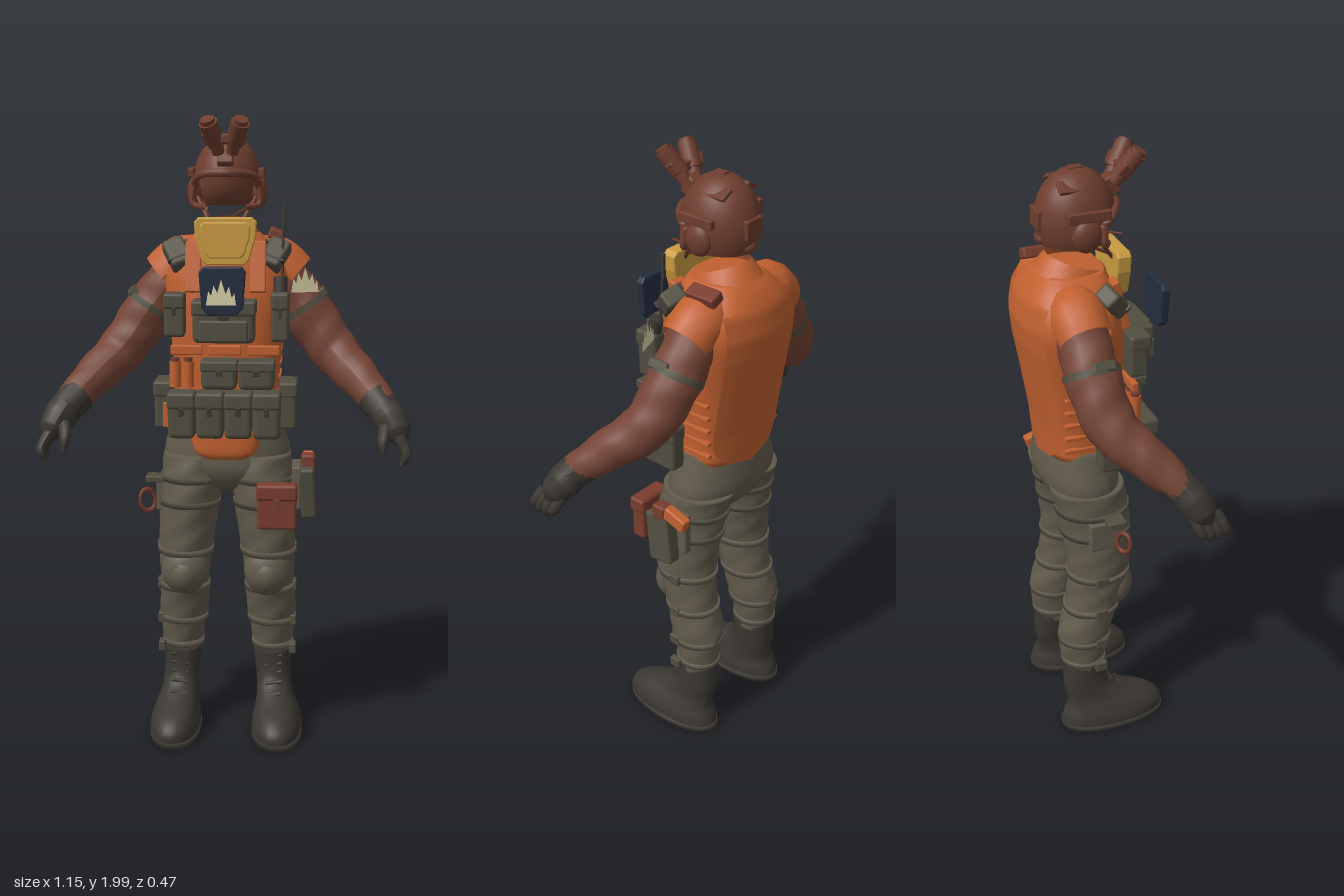
import * as THREE from 'three';
import { RoundedBoxGeometry } from 'three/addons/geometries/RoundedBoxGeometry.js';
import { ParametricGeometry } from 'three/addons/geometries/ParametricGeometry.js';

const V = (x, y, z) => new THREE.Vector3(x, y, z);
const lerp = THREE.MathUtils.lerp;

// Closed body through horizontal rings [x, y, z, rx, rz], listed upward
function loft(rings, { n = 28, e = 1, sub = 5, wrinkle = 0, caps = true } = {}) {
  const centres = new THREE.CatmullRomCurve3(rings.map(r => V(r[0], r[1], r[2])), false, 'catmullrom');
  const radii = new THREE.CatmullRomCurve3(rings.map(r => V(r[3], 0, r[4])), false, 'catmullrom');
  const rows = (rings.length - 1) * sub, pos = [], idx = [];
  const bend = v => Math.sign(v) * Math.abs(v) ** e;
  for (let j = 0; j <= rows; j++) {
    const c = centres.getPoint(j / rows), r = radii.getPoint(j / rows);
    for (let i = 0; i < n; i++) {
      const a = i / n * Math.PI * 2, k = 1 + wrinkle * Math.sin(a * 3 + c.y * 50) * Math.sin(c.y * 23 + a);
      pos.push(c.x + r.x * k * bend(Math.cos(a)), c.y, c.z + r.z * k * bend(Math.sin(a)));
    }
  }
  for (let j = 0; j < rows; j++) for (let i = 0; i < n; i++) {
    const a = j * n + i, b = j * n + (i + 1) % n;
    idx.push(a, a + n, b, b, a + n, b + n);
  }
  if (caps) {
    const first = rings[0], last = rings[rings.length - 1], base = pos.length / 3, top = rows * n;
    pos.push(first[0], first[1], first[2], last[0], last[1], last[2]);
    for (let i = 0; i < n; i++) {
      const k = (i + 1) % n;
      idx.push(base, i, k, base + 1, top + k, top + i);
    }
  }
  const g = new THREE.BufferGeometry();
  g.setAttribute('position', new THREE.Float32BufferAttribute(pos, 3));
  g.setIndex(idx);
  g.computeVertexNormals();
  return g;
}

// Tube through points [x, y, z, radius]
function limb(points, { n = 14, segs = 24, wrinkle = 0 } = {}) {
  const curve = new THREE.CatmullRomCurve3(points.map(p => V(p[0], p[1], p[2])));
  const g = new THREE.TubeGeometry(curve, segs, 1, n), p = g.attributes.position;
  for (let i = 0; i < p.count; i++) {
    const t = Math.floor(i / (n + 1)) / segs, c = curve.getPointAt(t);
    const f = t * (points.length - 1), k = Math.min(Math.floor(f), points.length - 2);
    const a = i % (n + 1) / n * Math.PI * 2;
    const r = lerp(points[k][3], points[k + 1][3], f - k) * (1 + wrinkle * Math.sin(t * 32 + a * 2));
    const v = V().fromBufferAttribute(p, i).sub(c).multiplyScalar(r).add(c);
    p.setXYZ(i, v.x, v.y, v.z);
  }
  g.computeVertexNormals();
  return g;
}

export function createModel() {
  const root = new THREE.Group();
  const M = {};
  const colours = { orange: 0xc06030, sleeveBrown: 0x744436, helmetBrown: 0x6d3d2e, redBrown: 0x783c2e, trouserGrey: 0x615a4c,
    pouchOlive: 0x514d40, charcoal: 0x3b3732, yellow: 0xc99b40, navy: 0x242d3e, cream: 0xd9d0a8 };
  for (const k in colours) M[k] = new THREE.MeshStandardMaterial({ color: colours[k], side: THREE.DoubleSide, name: k });

  const add = (name, geo, mat, p = [0, 0, 0], r = [0, 0, 0]) => {
    const m = new THREE.Mesh(geo, M[mat]);
    m.name = name; m.position.set(...p); m.rotation.set(...r);
    root.add(m);
    return m;
  };
  const box = (name, mat, p, s, r) => add(name, new RoundedBoxGeometry(...s, 2, Math.min(...s) * 0.2), mat, p, r);
  const ball = (name, mat, p, s) => add(name, new THREE.SphereGeometry(1, 20, 14), mat, p).scale.set(...s);
  const rod = (name, mat, a, b, r0, r1 = r0) => {
    const A = V(...a), B = V(...b), d = B.clone().sub(A);
    const m = add(name, new THREE.CylinderGeometry(r1, r0, d.length(), 14), mat, A.clone().add(B).multiplyScalar(0.5).toArray());
    m.quaternion.setFromUnitVectors(V(0, 1, 0), d.normalize());
  };
  const plate = (name, mat, points, depth, p) => add(name, new THREE.ExtrudeGeometry(new THREE.Shape(points.map(q => new THREE.Vector2(...q))),
    { depth, bevelSize: .004, bevelThickness: .005, bevelSegments: 2 }), mat, p);
  // Pouch with flap and buckle on its front
  const pouch = (name, x, y, z, w, h, d, mat = 'pouchOlive', buckle = 'charcoal') => {
    box(name, mat, [x, y, z], [w, h, d]);
    box(name + 'Flap', mat, [x, y + h * 0.33, z + 0.005], [w * 1.04, h * 0.36, d + 0.008]);
    box(name + 'Buckle', buckle, [x, y + h * 0.1, z + d / 2 + 0.006], [w * 0.18, h * 0.2, 0.01]);
  };

  // Vest: [y, half width, front z, back z]
  const torso = [[1.05, .165, .07, -.165], [1.15, .165, .075, -.175], [1.3, .178, .08, -.2], [1.42, .195, .08, -.222],
    [1.5, .2, .07, -.23], [1.56, .18, .06, -.22], [1.61, .135, .045, -.19], [1.64, .1, .03, -.16]];
  add('vest', loft(torso.map(([y, w, f, b]) => [0, y, (f + b) / 2, w, (f - b) / 2]), { n: 40, e: 0.72 }), 'orange');
  const backZ = y => {
    const k = Math.max(0, torso.findIndex(s => s[0] >= y) - 1), a = torso[k], b = torso[k + 1];
    return lerp(a[3], b[3], (y - a[0]) / (b[0] - a[0]));
  };
  add('backPanel', new ParametricGeometry((u, v, out) => {
    const y = 1.03 + v * 0.55, w = 0.158 * Math.sqrt(1 - (1 - Math.min(v * 4.5, 1)) ** 2), x = (u * 2 - 1) * w;
    out.set(x, y, backZ(y) - 0.01 + x * x * 1.5);
  }, 16, 24), 'orange');
  const collar = loft([[0, 1.6, -.06, .115, .115], [0, 1.64, -.05, .095, .1], [0, 1.66, -.045, .085, .09]], { caps: false });
  const cp = collar.attributes.position;
  for (let i = 0; i < cp.count; i++) cp.setY(i, cp.getY(i) - (cp.getZ(i) + 0.05) * 0.34);
  collar.computeVertexNormals();
  add('collar', collar, 'orange');
  add('frontTail', loft([[0, .935, .06, .06, .025], [0, .96, .06, .098, .035], [0, 1.03, .05, .115, .045]], { e: 0.8 }), 'orange');

  // Trousers, boots and straps
  add('hips', loft([[0, .815, -.03, .03, .03], [0, .84, -.03, .11, .075], [0, .89, -.04, .19, .112], [0, .95, -.052, .203, .125],
    [0, 1.02, -.052, .185, .122], [0, 1.08, -.05, .168, .115]], { e: 0.9 }), 'trouserGrey');
  const leg = [[.15, .24, -.078, .062, .065], [.15, .3, -.08, .068, .075], [.146, .4, -.072, .081, .089], [.14, .5, -.045, .08, .09],
    [.136, .6, -.022, .086, .1], [.128, .7, -.02, .092, .107], [.114, .84, -.03, .1, .115], [.105, .94, -.05, .1, .122]];
  const legAt = y => {
    const k = leg.findIndex(s => s[1] >= y), a = leg[k - 1], b = leg[k];
    return a.map((v, i) => lerp(v, b[i], (y - a[1]) / (b[1] - a[1])));
  };
  const boot = [[.168, 0, .02, .074, .172], [.168, .015, .02, .081, .18], [.168, .05, .022, .08, .176], [.166, .085, .01, .07, .15],
    [.16, .12, -.03, .06, .11], [.156, .16, -.065, .058, .082], [.152, .21, -.075, .06, .074], [.15, .27, -.075, .064, .072]];
  for (const s of [1, -1]) {
    const side = rings => rings.map(r => [r[0] * s, ...r.slice(1)]);
    const strap = (y, mat, h) => {
      const [x, , z, rx, rz] = legAt(y);
      add('legStrap', loft(side([[x, y - h, z, rx + .004, rz + .004], [x, y + h, z, rx + .004, rz + .004]]), { sub: 1 }), mat);
    };
    add('trouserLeg', loft(side(leg), { wrinkle: 0.025, sub: 8 }), 'trouserGrey');
    for (const y of [.86, .78]) strap(y, 'pouchOlive', .009);
    for (const y of [.62, .49, .37, .28]) strap(y, 'trouserGrey', .01);
    for (const y of [.62, .49, .37, .27]) box('strapBuckle', 'pouchOlive', [s * .218, y, -.04], [.022, .035, .04]);
    ball('kneePad', 'trouserGrey', [s * .134, .56, .032], [.076, .085, .058]);
    ball('kneeCap', 'trouserGrey', [s * .134, .55, .052], [.052, .058, .045]);

    add('boot', loft(side(boot), { n: 32, e: 0.9 }), 'charcoal');
    add('bootSole', loft(side([[.168, 0, .02, .084, .183], [.168, .022, .02, .084, .183]]), { n: 32, e: 0.9, sub: 1 }), 'charcoal');
    [.045, .012, -.006, -.01, -.012].forEach((z, i) =>
      rod('lace', 'charcoal', [s * .13, .13 + i * .028, z], [s * .182, .138 + i * .028, z], .007));

    // Arms
    add('shoulderCap', limb([[s * .07, 1.555, -.095, .075], [s * .155, 1.54, -.095, .086], [s * .212, 1.495, -.09, .08]]), 'orange');
    add('sleeve', limb([[s * .17, 1.5, -.09, .078], [s * .25, 1.395, -.085, .083], [s * .34, 1.268, -.055, .077],
      [s * .425, 1.185, .03, .065], [s * .49, 1.115, .105, .05]], { n: 18, segs: 40, wrinkle: 0.025 }), 'sleeveBrown');
    add('sleeveStrap', limb([[s * .24, 1.413, -.086, .087], [s * .252, 1.395, -.085, .087]], { n: 18, segs: 2 }), 'pouchOlive');
    box('sleeveTab', 'pouchOlive', [s * .298, 1.45, -.07], [.035, .03, .07], [0, 0, s * .6]);

    // Gloves
    add('gloveCuff', limb([[s * .462, 1.14, .078, .057], [s * .5, 1.1, .118, .052]], { segs: 4 }), 'charcoal');
    add('palm', limb([[s * .485, 1.12, .1, .05], [s * .52, 1.07, .135, .054], [s * .543, 1.02, .162, .046], [s * .548, 1.0, .168, .01]]), 'charcoal');
    for (let i = 0; i < 4; i++) {
      const o = (i - 1.5) * 0.025, l = i === 0 || i === 3 ? 0.012 : 0;
      add('finger', limb([[s * .535, 1.04, .155 + o, .019], [s * .558, .995, .175 + o, .0185], [s * .556, .967 + l, .185 + o, .017],
        [s * .545, .95 + l, .188 + o, .004]], { n: 8, segs: 10 }), 'charcoal');
    }
    add('thumb', limb([[s * .5, 1.07, .15, .024], [s * .487, 1.03, .195, .02], [s * .488, 1.0, .212, .017], [s * .49, .985, .217, .004]],
      { n: 8, segs: 10 }), 'charcoal');

    // Shoulder boxes, side pouches and side lacing
    box('shoulderBox', 'pouchOlive', [s * .152, 1.575, .015], [.07, .1, .055], [-.7, 0, -s * .45]);
    for (let i = 0; i < 3; i++) box('shoulderRib', 'charcoal', [s * .15, 1.565 + i * .02, .048 - i * .02], [.062, .008, .02], [-.7, 0, -s * .45]);
    box('sidePouch', 'pouchOlive', [s * .195, 1.11, .02], [.055, .15, .13]);
    box('sidePouchFlap', 'pouchOlive', [s * .197, 1.16, .02], [.06, .05, .137]);
    for (let i = 0; i < 5; i++) box('sideLace', 'orange', [s * (.16 + i * .002), 1.1 + i * .045, -.075], [.018, .012, .13]);
    box('vestStrap', 'orange', [s * .1, 1.54, .055], [.05, .16, .025], [-.25, 0, 0]);

    // Helmet ear cups, chin straps and paired viewing tubes
    ball('earCup', 'helmetBrown', [s * .1, 1.765, -.045], [.026, .05, .045]);
    box('helmetRail', 'helmetBrown', [s * .108, 1.825, -.04], [.018, .03, .13]);
    rod('chinStrap', 'helmetBrown', [s * .09, 1.75, -.01], [s * .045, 1.665, .055], .006);
    rod('rearStrap', 'helmetBrown', [s * .09, 1.76, -.09], [s * .05, 1.68, .045], .005);
    rod('viewingTube', 'helmetBrown', [s * .026, 1.91, .085], [s * .048, 1.972, .128], .027, .029);
    rod('tubeLens', 'helmetBrown', [s * .048, 1.97, .127], [s * .051, 1.982, .134], .023);
    rod('tubeEyepiece', 'helmetBrown', [s * .02, 1.885, .07], [s * .028, 1.912, .087], .02);
    box('tubePod', 'helmetBrown', [s * .052, 1.93, .09], [.025, .04, .03], [.6, 0, -s * .35]);
  }

  // Helmet shell with a raised front edge
  add('helmetShell', new ParametricGeometry((u, v, out) => {
    const a = u * Math.PI * 2, f = Math.max(0, Math.sin(a));
    const t = v * lerp(2.05, 1.4, Math.min(1, f * 1.3));
    out.set(-.108 * Math.sin(t) * Math.cos(a), 1.79 + .148 * Math.cos(t), -.045 + .122 * Math.sin(t) * Math.sin(a));
  }, 40, 20), 'helmetBrown');
  add('browRim', limb([[-.1, 1.78, .0, .012], [-.085, 1.815, .04, .012], [0, 1.825, .078, .013], [.085, 1.815, .04, .012], [.1, 1.78, 0, .012]], { n: 8 }), 'helmetBrown');
  for (const s of [1, -1])
    add('faceFrame', limb([[s * .1, 1.8, .01, .01], [s * .102, 1.73, .01, .011], [s * .06, 1.72, .035, .009]], { n: 8 }), 'helmetBrown');
  add('headLiner', loft([[0, 1.725, -.07, .08, .065], [0, 1.77, -.06, .095, .085], [0, 1.84, -.05, .09, .09]]), 'helmetBrown');
  box('tubeMount', 'helmetBrown', [0, 1.875, .065], [.05, .06, .035], [-.4, 0, 0]);
  box('tubeBridge', 'helmetBrown', [0, 1.925, .095], [.07, .03, .035]);
  box('helmetTopPad', 'helmetBrown', [0, 1.935, -.045], [.025, .014, .04]);
  box('rearPack', 'helmetBrown', [0, 1.8, -.16], [.07, .06, .022]);
  ball('rearDial', 'helmetBrown', [0, 1.74, -.15], [.03, .02, .018]);
  for (const x of [-.055, .055]) box('helmetPatch', 'helmetBrown', [x, 1.9, -.07], [.045, .012, .09], [0, 0, -x * 9]);

  // Yellow face plate, tapered toward its lower edge
  const maskOutline = [[-.055, -.07], [.057, -.07], [.07, -.058], [.09, .01], [.092, .055], [.08, .066], [-.08, .066], [-.09, .055], [-.088, .01], [-.068, -.058]];
  plate('facePlate', 'yellow', maskOutline, .034, [0, 1.622, .058]);
  plate('facePlateRidge', 'yellow', maskOutline.map(p => [p[0] * .8, p[1] * .75]), .004, [0, 1.625, .096]);
  rod('microphoneBoom', 'helmetBrown', [.07, 1.72, .0], [.03, 1.7, .115], .004);

  // Patches with a row of trees
  plate('chestPatch', 'navy', [[-.04, -.068], [.04, -.068], [.058, -.05], [.066, .055], [.056, .068], [-.056, .068], [-.066, .055], [-.058, -.05]],
    .016, [0, 1.482, .214]);
  const trees = new THREE.Shape([[-.045, -.035], [.045, -.035], [.04, .002], [.032, -.012], [.024, .022], [.014, 0], [0, .042], [-.011, .002],
    [-.022, .025], [-.029, -.006], [-.038, .008]].map(p => new THREE.Vector2(...p)));
  add('patchTrees', new THREE.ShapeGeometry(trees), 'cream', [-.003, 1.475, .2358]);
  add('shoulderTrees', new THREE.ShapeGeometry(trees), 'cream', [.245, 1.495, .025], [0, .35, 0]);

  // Chest gear
  pouch('chestPanel', 0, 1.38, .12, .19, .13, .09);
  box('chestPanelPocket', 'pouchOlive', [0, 1.355, .172], [.15, .065, .03]);
  box('chestPanelTop', 'pouchOlive', [0, 1.435, .14], [.13, .03, .07]);
  pouch('rightRadioPouch', -.155, 1.395, .09, .065, .135, .06);
  pouch('leftRadioPouch', .17, 1.39, .08, .055, .15, .07);
  rod('leftRadio', 'charcoal', [.17, 1.46, .07], [.17, 1.51, .06], .022);
  rod('antenna', 'charcoal', [.175, 1.5, .04], [.177, 1.73, .02], .004);
  box('antennaTip', 'charcoal', [.177, 1.69, .022], [.011, .08, .011]);
  box('shoulderPack', 'redBrown', [.152, 1.63, -.11], [.05, .035, .105], [0, 0, -.4]);
  for (const x of [-.12, 0, .12]) box('chestWebbing', 'orange', [x, 1.285, .085], [.1, .03, .02]);

  // Waist pouches
  for (const x of [-.015, .1]) pouch('magazinePouch', x, 1.215, .115, .11, .09, .085);
  for (const x of [-.155, -.115]) {
    rod('orangeCanister', 'orange', [x, 1.17, .09], [x, 1.25, .09], .018);
    rod('canisterCap', 'redBrown', [x, 1.25, .09], [x, 1.262, .09], .014);
  }
  box('belt', 'pouchOlive', [0, 1.1, .06], [.34, .06, .05]);
  for (const x of [-.132, -.044, .044, .132]) pouch('beltPouch', x, 1.088, .115, .085, .145, .085);
  box('orangeTag', 'orange', [-.185, 1.08, .085], [.02, .08, .02]);

  // Thigh gear
  pouch('thighPouch', .165, .795, .11, .125, .145, .05, 'redBrown', 'helmetBrown');
  box('holster', 'pouchOlive', [.262, .815, -.03], [.05, .17, .09], [.15, 0, .06]);
  box('holsterPlate', 'trouserGrey', [.225, .83, -.04], [.03, .14, .13]);
  box('sidearmGrip', 'orange', [.262, .905, -.09], [.035, .045, .085], [-.3, 0, 0]);
  box('holsterHood', 'redBrown', [.262, .91, -.03], [.045, .05, .05]);
  box('clipTab', 'pouchOlive', [-.23, .855, 0], [.06, .022, .06]);
  add('clipRing', new THREE.TorusGeometry(.026, .006, 8, 20), 'redBrown', [-.255, .785, .02], [0, .5, .2]).scale.y = 1.4;
  box('legPack', 'trouserGrey', [-.21, .8, -.03], [.035, .1, .1]);

  return root;
}
